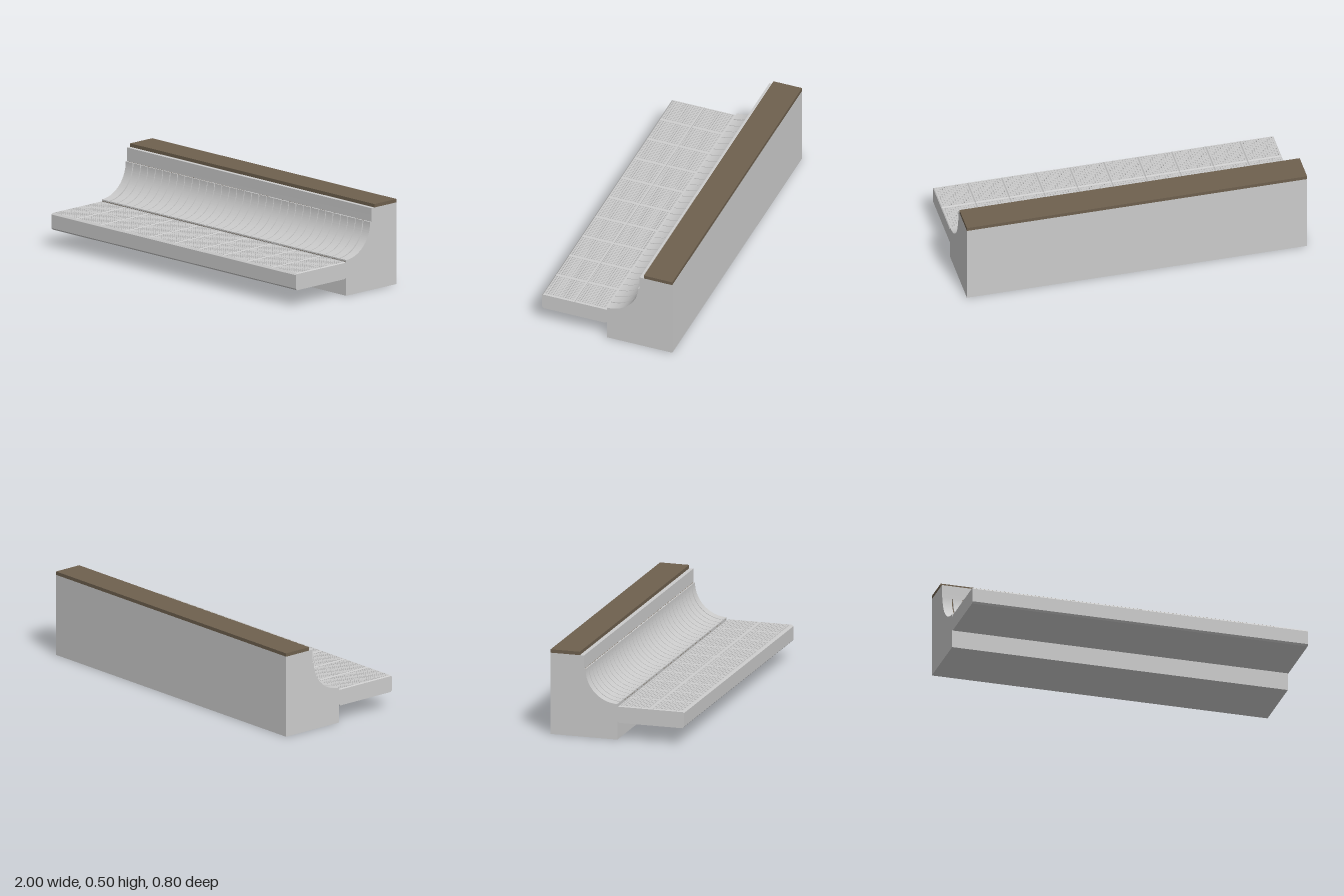
import * as THREE from 'three';
import { toCreasedNormals } from 'three/addons/utils/BufferGeometryUtils.js';

const grey = new THREE.MeshStandardMaterial({ color: 0xcccccc });
const brown = new THREE.MeshStandardMaterial({ color: 0x6e604e });

// Extrudes a side profile, drawn in (-z, y), along x and centres it on x = 0
function extrudeAlongX(shape, width) {
  const g = new THREE.ExtrudeGeometry(shape, { depth: width, bevelEnabled: false, curveSegments: 32 });
  g.translate(0, 0, -width / 2);
  g.rotateY(Math.PI / 2);
  return toCreasedNormals(g, 0.4);
}

function polygon(points) {
  return new THREE.Shape(points.map(([z, y]) => new THREE.Vector2(-z, y)));
}

// Quarter ring lining the concave cove, centred on z = 0, y = 0.4
function coveRing(inner, outer) {
  const s = new THREE.Shape();
  s.moveTo(0, 0.4 - outer);
  s.absarc(0, 0.4, outer, -Math.PI / 2, 0, false);
  s.lineTo(inner, 0.4);
  s.absarc(0, 0.4, inner, 0, -Math.PI / 2, true);
  s.closePath();
  return s;
}

// Paving tile: chamfered plate with a grid of small square pits
function tileGeometry(width, length, height, chamfer, count) {
  const w = width / 2 - chamfer, l = length / 2 - chamfer;
  const s = new THREE.Shape([[-w, -l], [w, -l], [w, l], [-w, l]].map(p => new THREE.Vector2(...p)));
  const px = (2 * w - 0.006) / count, pz = (2 * l - 0.006) / count, r = 0.0038;
  for (let i = 0; i < count; i++) {
    for (let j = 0; j < count; j++) {
      const x = (i + 0.5 - count / 2) * px, z = (j + 0.5 - count / 2) * pz;
      s.holes.push(new THREE.Path([[-r, -r], [-r, r], [r, r], [r, -r]]
        .map(([a, b]) => new THREE.Vector2(x + a, z + b))));
    }
  }
  const g = new THREE.ExtrudeGeometry(s, { depth: height, bevelEnabled: false });
  // Spread the lower rim outward to form the chamfer
  const p = g.attributes.position;
  for (let i = 0; i < p.count; i++) {
    if (p.getZ(i) > height / 2) continue;
    const x = p.getX(i), y = p.getY(i);
    if (Math.abs(x) > w - 1e-5) p.setX(i, x + Math.sign(x) * chamfer);
    if (Math.abs(y) > l - 1e-5) p.setY(i, y + Math.sign(y) * chamfer);
  }
  g.rotateX(-Math.PI / 2);
  g.computeVertexNormals();
  return g;
}

export function createModel() {
  const model = new THREE.Group();
  const add = (name, geometry, material, parent = model) => {
    const mesh = new THREE.Mesh(geometry, material);
    mesh.name = name;
    parent.add(mesh);
    return mesh;
  };

  // Wall body with its concave front
  const wall = new THREE.Shape();
  wall.moveTo(0, 0);
  wall.lineTo(0.4, 0);
  wall.lineTo(0.4, 0.48);
  wall.lineTo(0.2, 0.48);
  wall.lineTo(0.2, 0.4);
  wall.absarc(0, 0.4, 0.2, 0, -Math.PI / 2, true);
  wall.closePath();
  add('wall', extrudeAlongX(wall, 2), grey);

  // Brown cap along the top
  const cap = add('wallCap', new THREE.BoxGeometry(2, 0.02, 0.175), brown);
  cap.position.set(0, 0.49, -0.3125);

  // Curved panels in front of a brown backing that shows in the gaps
  add('coveBacking', extrudeAlongX(coveRing(0.198, 0.2), 1.99), brown);
  const panels = new THREE.Group();
  panels.name = 'covePanels';
  model.add(panels);
  const panelCount = 33, pitch = 2 / panelCount, gap = 0.005;
  const panelGeometry = extrudeAlongX(coveRing(0.19, 0.2), pitch - gap);
  for (let i = 0; i < panelCount; i++) {
    let x = -1 + (i + 0.5) * pitch;
    if (i === 0) x -= gap / 2;
    if (i === panelCount - 1) x += gap / 2;
    add('covePanel', panelGeometry, grey, panels).position.x = x;
  }

  // Walkway slab with chamfered long edges
  add('walkwaySlab', extrudeAlongX(polygon([
    [0.39, 0.1], [0.01, 0.1], [0, 0.11], [0, 0.19],
    [0.005, 0.195], [0.395, 0.195], [0.4, 0.19], [0.4, 0.11],
  ]), 2), grey);

  // Two rows of paving tiles
  const tiles = new THREE.Group();
  tiles.name = 'walkwayTiles';
  model.add(tiles);
  const tile = tileGeometry(0.2, 0.195, 0.005, 0.005, 12);
  for (const z of [0.1025, 0.2975]) {
    for (let i = 0; i < 10; i++) {
      add('walkwayTile', tile, grey, tiles).position.set(-0.9 + i * 0.2, 0.195, z);
    }
  }

  return model;
}
